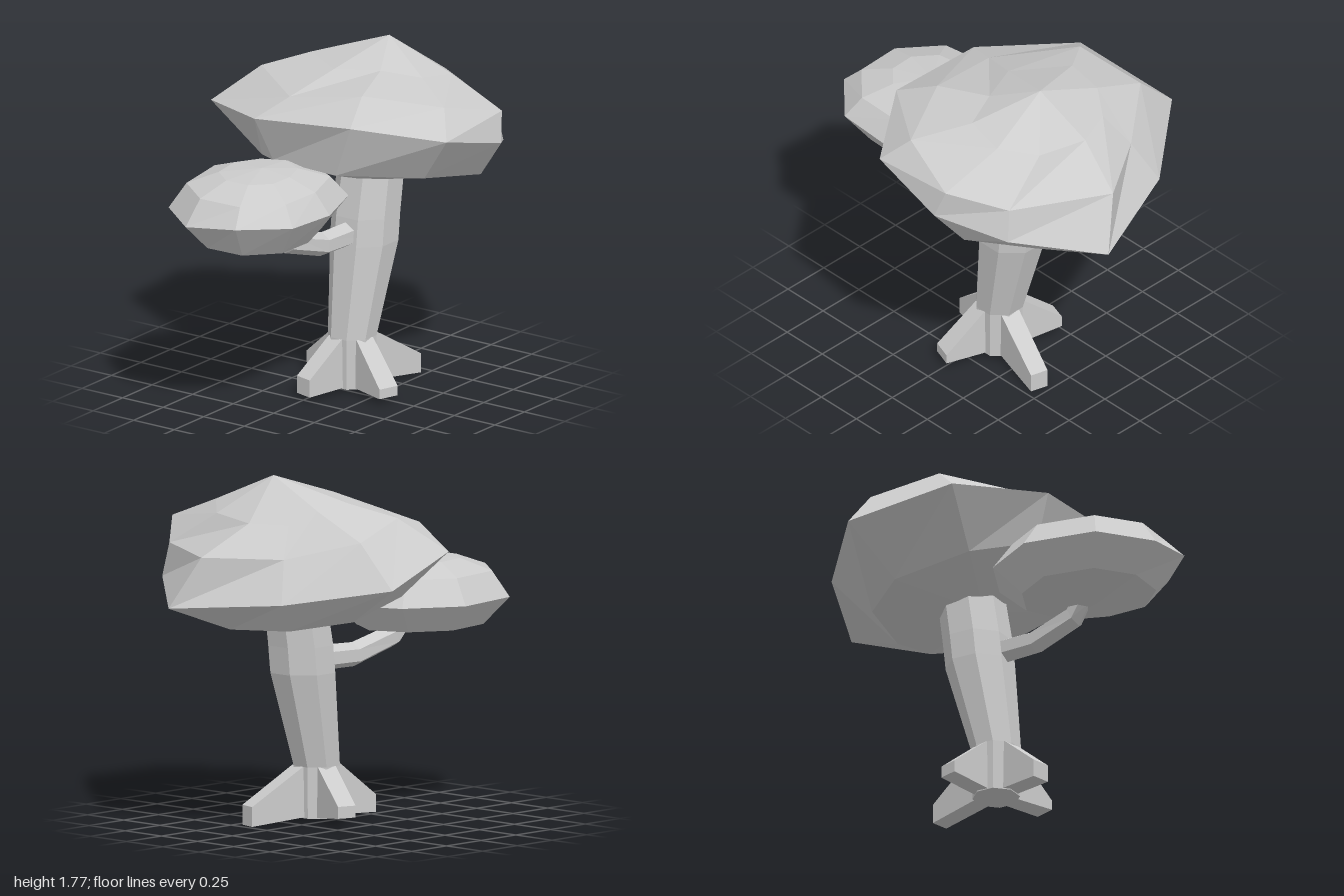
import * as THREE from 'three';

const V = (x, y, z) => new THREE.Vector3(x, y, z);
const material = new THREE.MeshStandardMaterial({ color: 0xcccccc, flatShading: true });

// Skin a list of rings (bottom to top); a ring of one point closes the end
function loft(name, rings) {
  const pos = [];
  const n = Math.max(...rings.map((r) => r.length));
  for (let i = 0; i < rings.length - 1; i++) {
    for (let j = 0; j < n; j++) {
      const at = (ring, k) => ring[k % ring.length];
      const a = at(rings[i], j), b = at(rings[i], j + 1);
      const c = at(rings[i + 1], j), d = at(rings[i + 1], j + 1);
      if (a !== b) pos.push(...a, ...c, ...b);
      if (c !== d) pos.push(...b, ...c, ...d);
    }
  }
  const g = new THREE.BufferGeometry();
  g.setAttribute('position', new THREE.Float32BufferAttribute(pos, 3));
  g.computeVertexNormals();
  const mesh = new THREE.Mesh(g, material);
  mesh.name = name;
  return mesh;
}

// Polygon ring around a centre, facing direction d, starting along u
function polygon(centre, radius, sides, d, u) {
  const v = u.clone().cross(d).normalize();
  return Array.from({ length: sides }, (_, i) => {
    const t = ((i + 0.5) / sides) * Math.PI * 2;
    return centre.clone().addScaledVector(u, Math.cos(t) * radius).addScaledVector(v, Math.sin(t) * radius);
  });
}

const points = (rows) => rows.map((p) => V(...p));

// Large lopsided crown: underside, rim, shoulder, upper ring, peak
function largeCrown() {
  return loft('largeCrown', [
    [[0.15, 1.07, 0.08]],
    [[0.66, 1.02, 0.1], [0.6, 1.04, 0.33], [0.39, 1.14, 0.63], [-0.02, 1.22, 0.58], [-0.32, 1.25, 0.25],
      [-0.3, 1.25, -0.15], [-0.05, 1.16, -0.4], [0.35, 1.08, -0.45], [0.6, 1.04, -0.25]],
    [[0.99, 1.15, 0.21], [0.65, 1.24, 0.58], [0.34, 1.35, 0.79], [-0.08, 1.46, 0.76], [-0.36, 1.53, 0.37],
      [-0.39, 1.48, -0.2], [-0.11, 1.41, -0.67], [0.42, 1.28, -0.79], [0.77, 1.2, -0.36]],
    [[0.89, 1.41, 0.08], [0.63, 1.41, 0.55], [0.39, 1.5, 0.76], [0.04, 1.59, 0.66], [-0.15, 1.63, 0.29],
      [-0.2, 1.56, -0.12], [0.07, 1.58, -0.49], [0.42, 1.5, -0.57], [0.66, 1.41, -0.27]],
    [[0.62, 1.56, 0.01], [0.57, 1.58, 0.28], [0.42, 1.62, 0.43], [0.21, 1.65, 0.4], [0.13, 1.67, 0.2],
      [0.04, 1.66, -0.02], [0.22, 1.65, -0.29], [0.42, 1.63, -0.27], [0.54, 1.56, -0.19]],
    [[0.37, 1.77, 0.08]],
  ].map(points));
}

// Small crown: its rim outline is repeated at other heights and sizes
function smallCrown() {
  const rim = points([[-0.02, 1.08, -0.05], [-0.17, 1.1, 0.22], [-0.48, 1.1, 0.33], [-0.78, 1.11, 0.32],
    [-0.99, 1.12, 0.12], [-1, 1.08, -0.18], [-0.8, 1.08, -0.43], [-0.42, 1.08, -0.49], [-0.14, 1.08, -0.32]]);
  const c = V(-0.55, 0, -0.06);
  const level = (y, s) => rim.map((p) => V(c.x + (p.x - c.x) * s, y, c.z + (p.z - c.z) * s));
  return loft('smallCrown', [
    [V(-0.58, 0.9, -0.03)], level(0.94, 0.7), rim, level(1.21, 0.8), level(1.27, 0.44), [V(-0.53, 1.29, -0.05)],
  ]);
}

// Leaning trunk with a kink near the top
function trunk() {
  const up = V(0, 1, 0), u = V(1, 0, 0);
  const stations = [[0.07, 0.02, 0.07, 0.12], [0.07, 0.28, 0.07, 0.125], [0.165, 0.76, 0.075, 0.175],
    [0.18, 0.9, 0.075, 0.175], [0.22, 1.15, 0.08, 0.17]];
  const rings = stations.map(([x, y, z, r]) => polygon(V(x, y, z), r, 8, up, u));
  return loft('trunk', [[V(0.07, 0.02, 0.07)], ...rings, [V(0.22, 1.15, 0.08)]]);
}

// Bent side branch holding the small crown
function branch() {
  const path = points([[0.15, 0.815, 0.08], [-0.17, 0.81, 0.05], [-0.41, 0.88, 0.02], [-0.47, 0.96, 0]]);
  const u = V(0, 0, 1);
  const rings = path.map((p, i) => {
    const d = path[Math.min(i + 1, 3)].clone().sub(path[Math.max(i - 1, 0)]).setZ(0).normalize();
    return polygon(p, 0.066 - i * 0.004, 6, d, u);
  });
  return loft('branch', [[path[0]], ...rings, [path[3]]]);
}

// Buttress root sloping from the trunk to a blunt tip
function root(name, x, z, bottom, top, halfWidth) {
  const foot = V(0.07, 0, 0.07);
  const out = V(x, 0, z).sub(foot);
  const length = out.length();
  const d = out.normalize();
  const u = d.clone().cross(V(0, 1, 0));
  const ring = (dist, y0, y1, w) => [[1, y0], [1, y1], [-1, y1], [-1, y0]].map(([s, y]) =>
    foot.clone().addScaledVector(d, dist).addScaledVector(u, s * w).setY(y));
  const tip = foot.clone().addScaledVector(d, length).setY((bottom + top) / 2);
  return loft(name, [[V(0.07, 0.15, 0.07)], ring(0, 0.025, 0.28, 0.05), ring(0.11, 0.025, 0.28, 0.05),
    ring(length, bottom, top, halfWidth), [tip]]);
}

export function createModel() {
  const model = new THREE.Group();
  model.name = 'tree';
  model.add(
    trunk(), branch(), largeCrown(), smallCrown(),
    root('leftRoot', 0.46, 0.175, 0, 0.1, 0.047),
    root('frontRoot', -0.035, 0.37, 0.03, 0.08, 0.055),
    root('rightRoot', -0.235, -0.01, 0.02, 0.11, 0.05),
    root('backRoot', 0.17, -0.235, 0.05, 0.11, 0.05),
  );
  return model;
}
